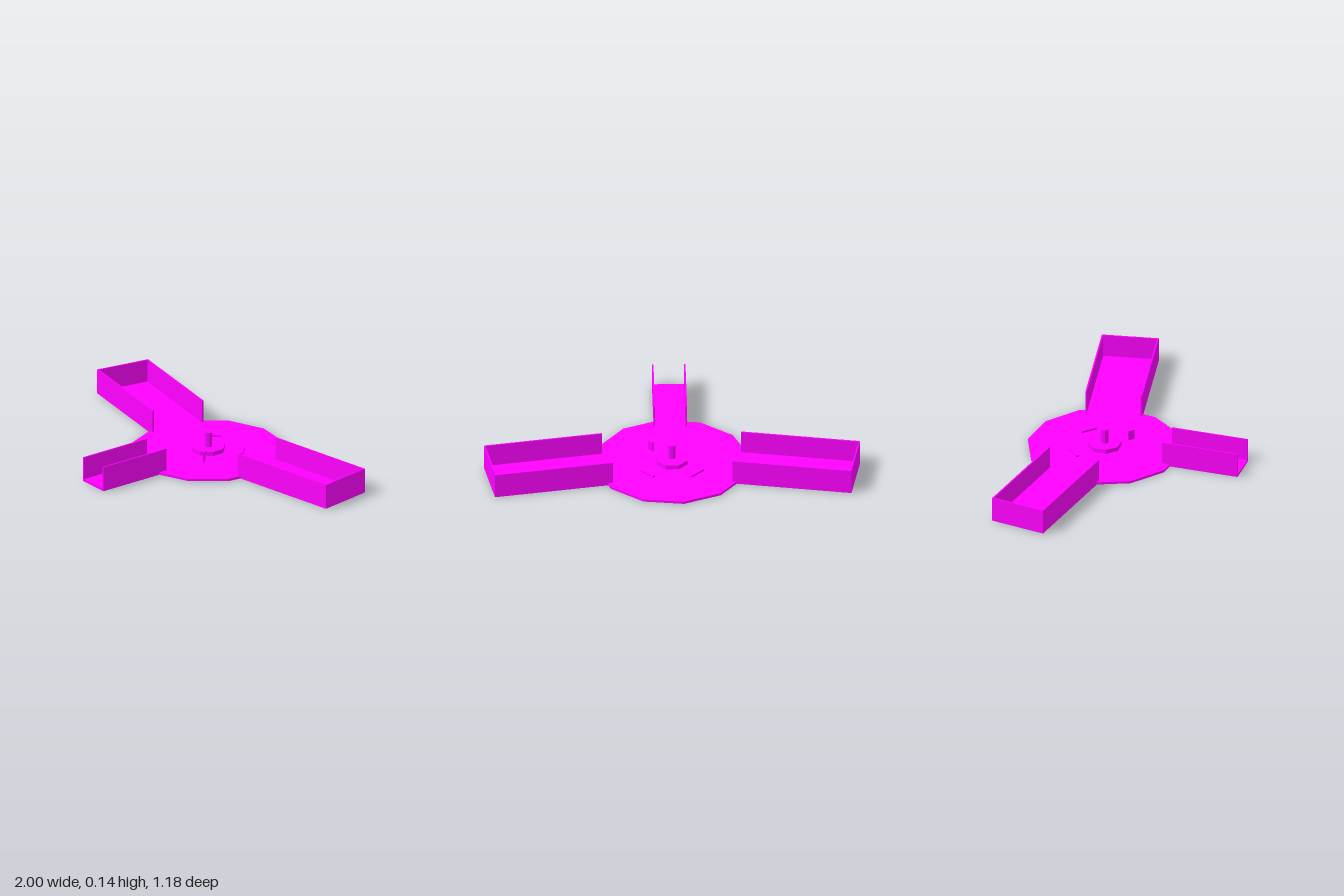
import * as THREE from 'three';

const HUB_Z = -0.18;   // every part is placed around the hub axis
const BASE = 0.013;    // base plate thickness
const WALL_H = 0.137;
const WALL_T = 0.008;
const INNER = 0.35;    // where the arms start, measured from the hub axis

export function createModel() {
  const model = new THREE.Group();
  model.name = 'threeArmPlate';
  const material = new THREE.MeshStandardMaterial({ color: 0xff00ff, flatShading: true });

  const add = (parent, name, geometry, x, y, z, rotY = 0) => {
    const mesh = new THREE.Mesh(geometry, material);
    mesh.name = name;
    mesh.position.set(x, y, z);
    mesh.rotation.y = rotY;
    parent.add(mesh);
    return mesh;
  };
  // Prism with its bottom at y
  const prism = (name, r, h, sides, y, rotY) =>
    add(model, name, new THREE.CylinderGeometry(r, r, h, sides), 0, y + h / 2, HUB_Z, rotY);

  // Twelve-sided base plate, hub and post
  prism('basePlate', 0.414, BASE, 12, 0, THREE.MathUtils.degToRad(7.5));
  prism('hub', 0.09, 0.023, 8, BASE, Math.PI / 8);
  prism('post', 0.021, 0.103, 8, BASE, Math.PI / 8);

  // Tray arms radiating from the hub, open at the inner end
  const addArm = (name, degrees, outer, width, closed) => {
    const arm = new THREE.Group();
    arm.name = name;
    arm.position.z = HUB_Z;
    arm.rotation.y = THREE.MathUtils.degToRad(degrees);
    const length = outer - INNER;
    const mid = (outer + INNER) / 2;
    add(arm, 'armFloor', new THREE.BoxGeometry(length, BASE, width), mid, BASE / 2, 0);
    for (const s of [-1, 1]) {
      add(arm, 'armSideWall', new THREE.BoxGeometry(length, WALL_H, WALL_T),
        mid, WALL_H / 2, s * (width - WALL_T) / 2);
    }
    if (closed) {
      add(arm, 'armEndWall', new THREE.BoxGeometry(WALL_T, WALL_H, width),
        outer - WALL_T / 2, WALL_H / 2, 0);
    }
    model.add(arm);
  };
  addArm('leftArm', 10, 0.988, 0.305, true);
  addArm('rightArm', 170, 0.988, 0.305, true);
  addArm('frontArm', -90, 0.77, 0.178, false);

  // Low ribs behind the hub and an upright tab in front of it
  for (const s of [-1, 1]) {
    add(model, 'rib', new THREE.BoxGeometry(0.09, 0.01, 0.013),
      s * 0.131, BASE + 0.005, -0.31, -s * Math.PI / 4);
  }
  add(model, 'tab', new THREE.BoxGeometry(0.035, 0.055, 0.008),
    0.11, BASE + 0.0275, -0.067, -Math.PI / 4);

  return model;
}
